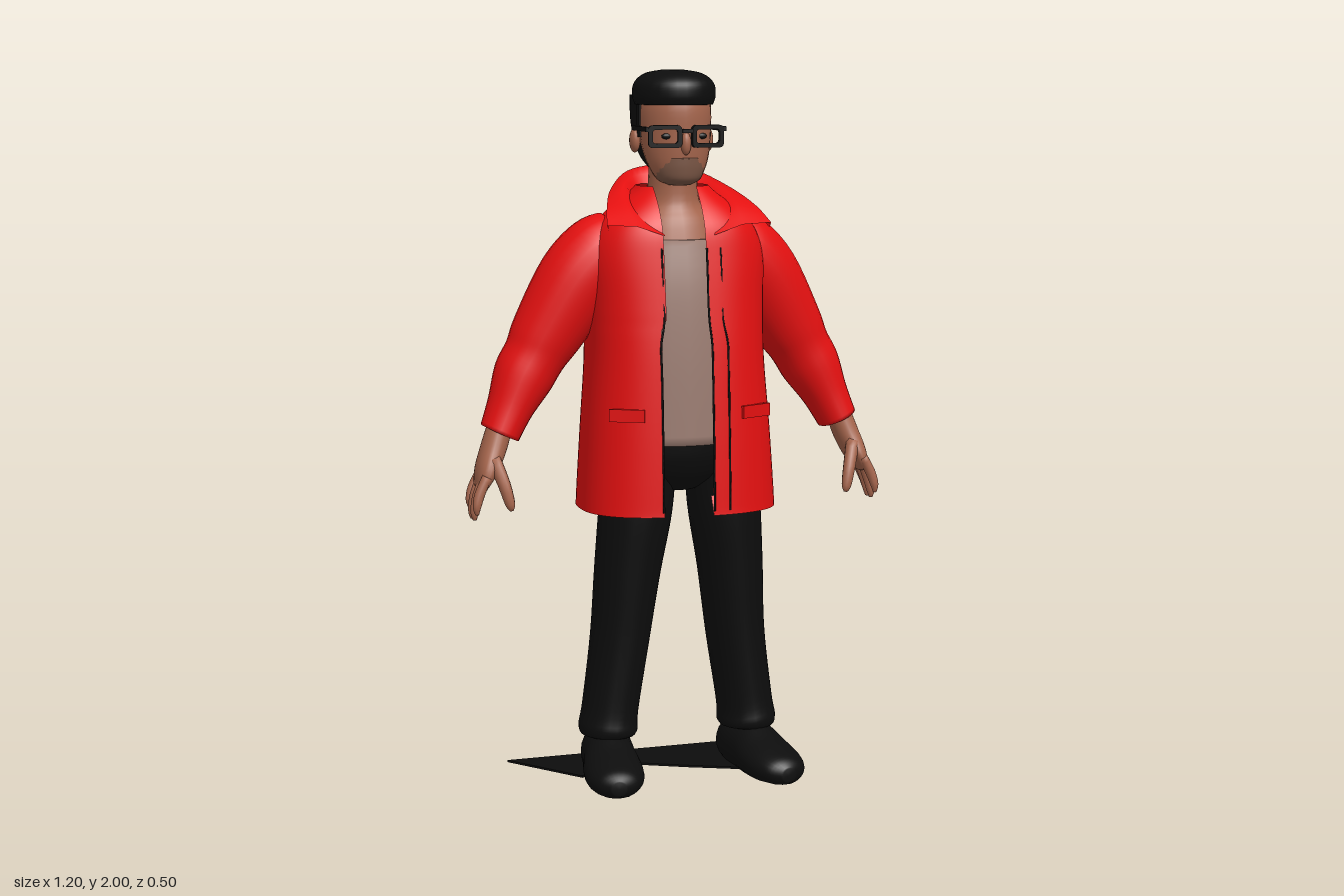
import * as THREE from 'three';

const mat = (name, color, side = THREE.FrontSide) => {
  const m = new THREE.MeshStandardMaterial({ color, side });
  m.name = name;
  return m;
};

// Catmull-Rom refinement of a list of equal-length number arrays
function refine(list, k = 5) {
  const out = [], at = i => list[Math.min(list.length - 1, Math.max(0, i))];
  for (let i = 0; i < list.length - 1; i++)
    for (let s = 0; s < k; s++) {
      const t = s / k, [a, b, c, d] = [at(i - 1), at(i), at(i + 1), at(i + 2)];
      out.push(b.map((v, j) => v + 0.5 * t * (c[j] - a[j] + t * (2 * a[j] - 5 * v + 4 * c[j] - d[j]
        + t * (3 * (v - c[j]) + d[j] - a[j])))));
    }
  out.push(at(list.length - 1));
  return out;
}

// Smooth skin over rows of [x, y, z] points
function surface(rows, closed) {
  const n = rows[0].length, pos = rows.flat(2), idx = [];
  for (let i = 0; i < rows.length - 1; i++)
    for (let j = 0; j < (closed ? n : n - 1); j++) {
      const a = i * n + j, b = i * n + (j + 1) % n;
      idx.push(a, a + n, b, b, a + n, b + n);
    }
  if (closed) [0, rows.length - 1].forEach((r, end) => {
    const c = pos.length / 3;
    pos.push(...[0, 1, 2].map(k => rows[r].reduce((s, p) => s + p[k], 0) / n));
    for (let j = 0; j < n; j++) {
      const a = r * n + j, b = r * n + (j + 1) % n;
      if (end) idx.push(c, b, a); else idx.push(c, a, b);
    }
  });
  const g = new THREE.BufferGeometry();
  g.setAttribute('position', new THREE.Float32BufferAttribute(pos, 3));
  g.setIndex(idx);
  g.computeVertexNormals();
  return g;
}

// Limb through sections [x, y, z, radius across, radius in z]
function loft(sections, sides = 24, k = 5) {
  const s = refine(sections, k);
  return surface(s.map(([x, y, z, ru, rz], i) => {
    const p = s[Math.max(0, i - 1)], q = s[Math.min(s.length - 1, i + 1)];
    const l = Math.hypot(q[0] - p[0], q[1] - p[1]) || 1;
    const nx = (q[1] - p[1]) / l, ny = -(q[0] - p[0]) / l;
    return Array.from({ length: sides }, (_, j) => {
      const a = j / sides * Math.PI * 2, u = Math.cos(a) * ru;
      return [x + nx * u, y + ny * u, z + Math.sin(a) * rz];
    });
  }), true);
}

// Jacket body rows: y, half width, front z, back z
const JACKET = refine([[0.83, 0.25, 0.17, -0.21], [0.785, 0.275, 0.195, -0.235], [0.8, 0.278, 0.196, -0.236],
  [1.0, 0.265, 0.188, -0.236], [1.2, 0.25, 0.175, -0.24], [1.35, 0.25, 0.158, -0.235], [1.48, 0.252, 0.14, -0.22],
  [1.56, 0.228, 0.125, -0.2], [1.61, 0.185, 0.1, -0.18], [1.66, 0.12, 0.06, -0.155], [1.68, 0.1, 0.04, -0.14]]);
const POW = 2.6;
function jacketFront(x, y) {
  const i = Math.max(11, JACKET.findIndex((r, k) => k > 10 && r[0] >= y));
  const [, w, f, b] = JACKET[i];
  return (f + b) / 2 + (f - b) / 2 * Math.pow(1 - Math.pow(Math.abs(x) / w, POW), 1 / POW);
}

export function createModel() {
  const root = new THREE.Group();
  root.name = 'standingMan';
  const red = mat('jacketRed', 0xe51010, THREE.DoubleSide), black = mat('black', 0x0d0d0d);
  const skin = mat('skin', 0xa5654c), shirt = mat('shirtTaupe', 0x9c7d72), stubble = mat('stubble', 0x7a5645);
  const add = (name, geo, m, parent = root) => {
    const mesh = new THREE.Mesh(geo, m);
    mesh.name = name;
    parent.add(mesh);
    return mesh;
  };
  const box = (name, size, p, m, ry = 0) => {
    const b = add(name, new THREE.BoxGeometry(...size), m);
    b.position.set(...p);
    b.rotation.y = ry;
    return b;
  };

  // Jacket body, open at the front
  const spow = v => Math.sign(v) * Math.pow(Math.abs(v), 2 / POW);
  add('jacketBody', surface(JACKET.map(([y, w, f, b]) => {
    const gap = g => Math.asin(Math.pow(Math.min(1, g / w), POW / 2));
    const from = -gap(y < 1.3 ? 0.09 : 0.075), to = -2 * Math.PI + gap(y < 1.3 ? 0.05 : 0.045);
    return Array.from({ length: 65 }, (_, j) => {
      const t = from + (to - from) * j / 64;
      return [w * spow(Math.sin(t)), y, (f + b) / 2 + (f - b) / 2 * spow(Math.cos(t))];
    });
  }), false), red);

  // Spread collar
  const half = [
    [[0, 1.73, -0.185], [0.1, 1.715, -0.16], [0.175, 1.67, -0.06], [0.215, 1.625, 0.05], [0.235, 1.582, 0.128]],
    [[0, 1.66, -0.14], [0.08, 1.66, -0.12], [0.115, 1.645, -0.03], [0.1, 1.605, 0.06], [0.07, 1.55, 0.13]]];
  const [outer, inner] = half.map(h =>
    refine([...h.slice(1).reverse().map(([x, y, z]) => [-x, y, z]), ...h]));
  const middle = outer.map((p, i) => [(p[0] + inner[i][0]) / 2, (p[1] + inner[i][1]) / 2 + 0.012, (p[2] + inner[i][2]) / 2]);
  const rim = outer.map(([x, y, z]) => [x * 0.98, y - 0.014, z]);
  add('collar', surface([rim, outer, middle, inner], false), red);

  // Dark seams beside the opening
  for (const x of [-0.092, 0.053, 0.1]) {
    const pts = Array.from({ length: 12 }, (_, i) => {
      const y = 0.79 + i * 0.066;
      return new THREE.Vector3(x * (y > 1.3 ? 0.88 : 1), y, jacketFront(x, y) + 0.001);
    });
    add('frontSeam', new THREE.TubeGeometry(new THREE.CatmullRomCurve3(pts), 40, 0.003, 6), black);
  }

  // Torso under the jacket
  add('shirt', loft([[0, 0.955, -0.02, 0.2, 0.15], [0, 1.2, -0.02, 0.2, 0.15], [0, 1.4, -0.03, 0.19, 0.148],
    [0, 1.535, -0.04, 0.15, 0.132]]), shirt);
  add('neck', loft([[0, 1.5, -0.04, 0.15, 0.13], [0, 1.58, -0.04, 0.12, 0.105], [0, 1.64, -0.045, 0.075, 0.08],
    [0, 1.75, -0.035, 0.068, 0.07]]), skin);
  add('hips', loft([[0, 0.83, -0.02, 0.06, 0.08], [0, 0.87, -0.02, 0.15, 0.12], [0, 0.92, -0.02, 0.19, 0.145],
    [0, 0.965, -0.02, 0.2, 0.153]]), black);

  // Head and hair
  add('head', loft([[0, 1.685, 0.025, 0.03, 0.03], [0, 1.7, 0.015, 0.06, 0.06], [0, 1.75, 0, 0.086, 0.085],
    [0, 1.82, -0.02, 0.099, 0.11], [0, 1.9, -0.025, 0.1, 0.115], [0, 1.96, -0.03, 0.08, 0.095]]), skin);
  add('stubble', loft([[0, 1.684, 0.027, 0.03, 0.032], [0, 1.7, 0.02, 0.06, 0.06], [0, 1.73, 0.013, 0.073, 0.074],
    [0, 1.76, 0.01, 0.072, 0.079]]), stubble);
  const nose = add('nose', new THREE.SphereGeometry(0.016, 14, 10), skin);
  nose.position.set(0, 1.8, 0.09);
  nose.scale.set(0.9, 2, 1);
  add('hairTop', loft([[0, 1.905, -0.028, 0.108, 0.122], [0, 1.93, -0.03, 0.116, 0.13], [0, 1.965, -0.03, 0.11, 0.124],
    [0, 1.99, -0.035, 0.08, 0.092], [0, 2.0, -0.04, 0.03, 0.04]], 28), black);
  add('hairBack', loft([[0, 1.725, -0.088, 0.055, 0.03], [0, 1.77, -0.09, 0.086, 0.055], [0, 1.85, -0.092, 0.106, 0.066],
    [0, 1.93, -0.08, 0.112, 0.08]], 28), black);

  // Glasses rim with a cut-out
  const rect = (P, w, h, r) => {
    const p = new P();
    p.moveTo(-w + r, -h).lineTo(w - r, -h).quadraticCurveTo(w, -h, w, -h + r).lineTo(w, h - r)
      .quadraticCurveTo(w, h, w - r, h).lineTo(-w + r, h).quadraticCurveTo(-w, h, -w, h - r)
      .lineTo(-w, -h + r).quadraticCurveTo(-w, -h, -w + r, -h);
    return p;
  };
  const rimShape = rect(THREE.Shape, 0.047, 0.031, 0.015);
  rimShape.holes.push(rect(THREE.Path, 0.035, 0.019, 0.01));
  const rimGeo = new THREE.ExtrudeGeometry(rimShape, { depth: 0.012, bevelEnabled: false });
  box('glassesBridge', [0.03, 0.01, 0.012], [0, 1.835, 0.104], black);

  for (const s of [1, -1]) {
    const side = s > 0 ? 'left' : 'right';
    const named = part => side + part;

    const glass = add(named('GlassesRim'), rimGeo, black);
    glass.position.set(s * 0.06, 1.82, 0.088);
    glass.rotation.y = s * 0.12;
    box(named('GlassesTemple'), [0.008, 0.013, 0.15], [s * 0.111, 1.84, 0.018], black);
    box(named('Sideburn'), [0.012, 0.1, 0.03], [s * 0.098, 1.865, -0.03], black);
    const eye = add(named('Eye'), new THREE.SphereGeometry(0.012, 12, 8), black);
    eye.position.set(s * 0.05, 1.82, 0.073);
    eye.scale.set(1.3, 0.7, 0.6);
    const ear = add(named('Ear'), new THREE.SphereGeometry(1, 14, 10), skin);
    ear.position.set(s * 0.106, 1.805, -0.055);
    ear.scale.set(0.015, 0.034, 0.024);

    // Sleeve and hand; the right arm swings slightly forward
    const arm = list => list.map(([x, y, z, u, v]) => [s * x, y, z + (s < 0 ? 0.1 * (x - 0.18) : 0), u, v]);
    add(named('Sleeve'), loft(arm([[0.16, 1.5, -0.065, 0.11, 0.105], [0.2, 1.48, -0.07, 0.122, 0.115],
      [0.27, 1.41, -0.08, 0.118, 0.115], [0.36, 1.27, -0.09, 0.1, 0.1], [0.395, 1.21, -0.09, 0.088, 0.09],
      [0.43, 1.15, -0.09, 0.085, 0.088], [0.47, 1.07, -0.08, 0.066, 0.075], [0.503, 1.0, -0.07, 0.057, 0.068]])), red);
    add(named('Palm'), loft(arm([[0.5, 1.03, -0.065, 0.035, 0.04], [0.525, 0.96, -0.055, 0.036, 0.05],
      [0.55, 0.9, -0.045, 0.03, 0.064], [0.568, 0.855, -0.04, 0.016, 0.056]])), skin);
    [0.025, 0, 0, 0.02].forEach((lift, i) => {
      const z = -0.088 + 0.032 * i;
      add(named('Finger'), loft(arm([[0.558, 0.89, z, 0.014, 0.015], [0.58, 0.835 + lift / 2, z + 0.004, 0.015, 0.016],
        [0.59, 0.79 + lift, z + 0.01, 0.012, 0.013], [0.59, 0.768 + lift, z + 0.012, 0.005, 0.005]]), 10, 3), skin);
    });
    add(named('Thumb'), loft(arm([[0.535, 0.94, -0.015, 0.02, 0.022], [0.512, 0.87, 0.02, 0.018, 0.02],
      [0.498, 0.815, 0.035, 0.014, 0.015], [0.494, 0.797, 0.038, 0.005, 0.005]]), 10, 3), skin);

    // Pocket flap
    box(named('PocketFlap'), [0.1, 0.035, 0.014], [s * 0.185, 1.06, jacketFront(0.185, 1.06) + 0.003], red, s * 0.45);

    // Trouser leg and shoe
    const leg = add(named('TrouserLeg'), loft([[s * 0.115, 0.94, -0.01, 0.1, 0.115], [s * 0.13, 0.78, -0.01, 0.104, 0.112],
      [s * 0.152, 0.6, -0.02, 0.094, 0.106], [s * 0.172, 0.4, -0.033, 0.084, 0.103], [s * 0.2, 0.2, -0.035, 0.08, 0.096],
      [s * 0.207, 0.14, -0.035, 0.084, 0.1], [s * 0.208, 0.12, -0.035, 0.078, 0.092]]), black);
    leg.position.x = 0.012;
    const shoeGeo = loft([[0, -0.1, -0.05, 0.03, 0.04], [0, -0.085, -0.055, 0.06, 0.065], [0, -0.03, -0.06, 0.074, 0.08],
      [0, 0.05, -0.055, 0.076, 0.078], [0, 0.13, -0.045, 0.084, 0.062], [0, 0.2, -0.038, 0.08, 0.05],
      [0, 0.25, -0.034, 0.058, 0.038], [0, 0.275, -0.03, 0.02, 0.02]]);
    shoeGeo.rotateX(Math.PI / 2);
    const sp = shoeGeo.attributes.position;
    for (let i = 0; i < sp.count; i++) sp.setY(i, Math.max(0, sp.getY(i)));
    shoeGeo.computeVertexNormals();
    const shoe = add(named('Shoe'), shoeGeo, black);
    shoe.position.set(s * 0.21 + 0.012, 0, -0.03);
    shoe.rotation.y = s * 0.14;
  }

  // Thin ground plate behind the feet
  const plate = new THREE.Shape([[-0.45, 0.22], [-0.28, 0], [-0.16, 0.12], [0.04, 0.02], [0.2, -0.05], [0.27, -0.07],
    [0.31, 0.25]].map(p => new THREE.Vector2(...p)));
  const plateGeo = new THREE.ExtrudeGeometry(plate, { depth: 0.006, bevelEnabled: false });
  plateGeo.rotateX(-Math.PI / 2);
  add('groundPlate', plateGeo, black);
  return root;
}
